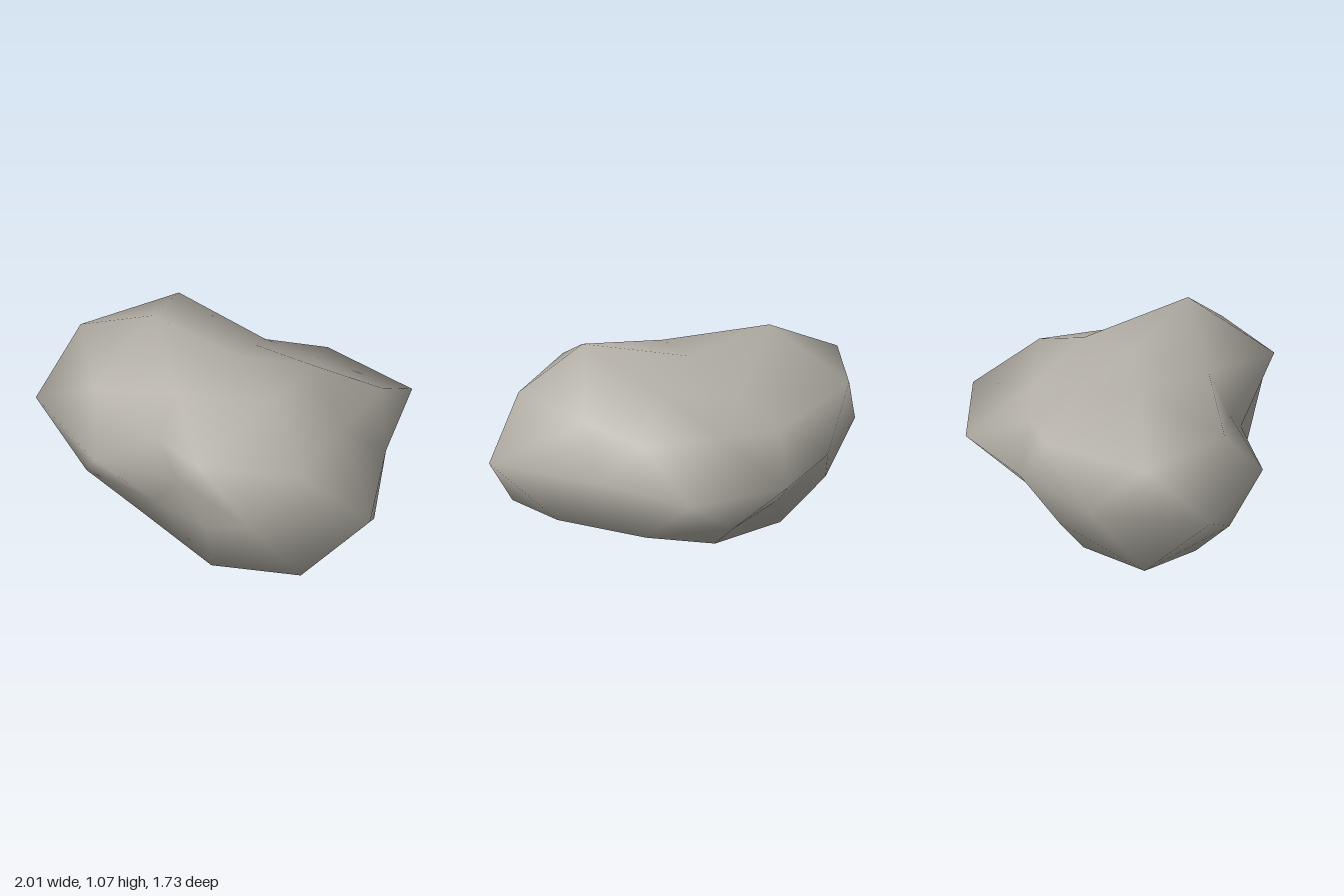
import * as THREE from 'three';
import { ConvexGeometry } from 'three/addons/geometries/ConvexGeometry.js';
import { mergeVertices } from 'three/addons/utils/BufferGeometryUtils.js';

// Rings of a geodesic sphere, top to bottom: height, first angle in degrees, radii of the points
const RINGS = [
  [1, 0, [0.79]],
  [0.8507, 0, [0.77, 1.07, 0.8, 1.03, 0.63]],
  [0.5257, 36, [0.8, 0.96, 0.9, 1.01, 0.64]],
  [0.4472, 0, [0.86, 1.01, 0.6, 1.11, 0.66]],
  [0, 18, [0.82, 1.12, 0.91, 0.58, 0.82, 1.11, 0.94, 0.78, 0.89, 1.0]],
  [-0.4472, 36, [0.97, 0.74, 0.9, 0.82, 0.85]],
  [-0.5257, 0, [0.89, 1.1, 0.675, 1.09, 0.69]],
  [-0.8507, 36, [0.84, 1.03, 1.0, 0.94, 0.85]],
  [-1, 0, [0.88]],
];

export function createModel() {
  const group = new THREE.Group();
  group.name = 'boulder';

  // Even unit directions and the distance the stone reaches along each
  const points = [];
  const reach = [];
  for (const [y, start, radii] of RINGS) {
    const ring = Math.sqrt(1 - y * y);
    radii.forEach((r, i) => {
      const a = THREE.MathUtils.degToRad(start + (360 / radii.length) * i);
      points.push(new THREE.Vector3(ring * Math.cos(a), y, ring * Math.sin(a)));
      reach.push(r);
    });
  }

  // Triangulated ball with shared corners
  const ball = new ConvexGeometry(points);
  ball.deleteAttribute('normal');
  const stoneShape = mergeVertices(ball);

  // Push every corner in or out, flatten, and shade smoothly
  const pos = stoneShape.attributes.position;
  const v = new THREE.Vector3();
  for (let i = 0; i < pos.count; i++) {
    v.fromBufferAttribute(pos, i);
    const k = points.findIndex((p) => p.distanceToSquared(v) < 1e-6);
    v.multiplyScalar(reach[k]);
    pos.setXYZ(i, 0.05 + v.x, 0.53 + v.y * 0.6, -0.04 + v.z);
  }
  stoneShape.computeVertexNormals();

  const stone = new THREE.MeshStandardMaterial({ color: 0xb3afa6 });
  stone.name = 'warm grey stone';
  const rock = new THREE.Mesh(stoneShape, stone);
  rock.name = 'rock';
  group.add(rock);
  return group;
}
